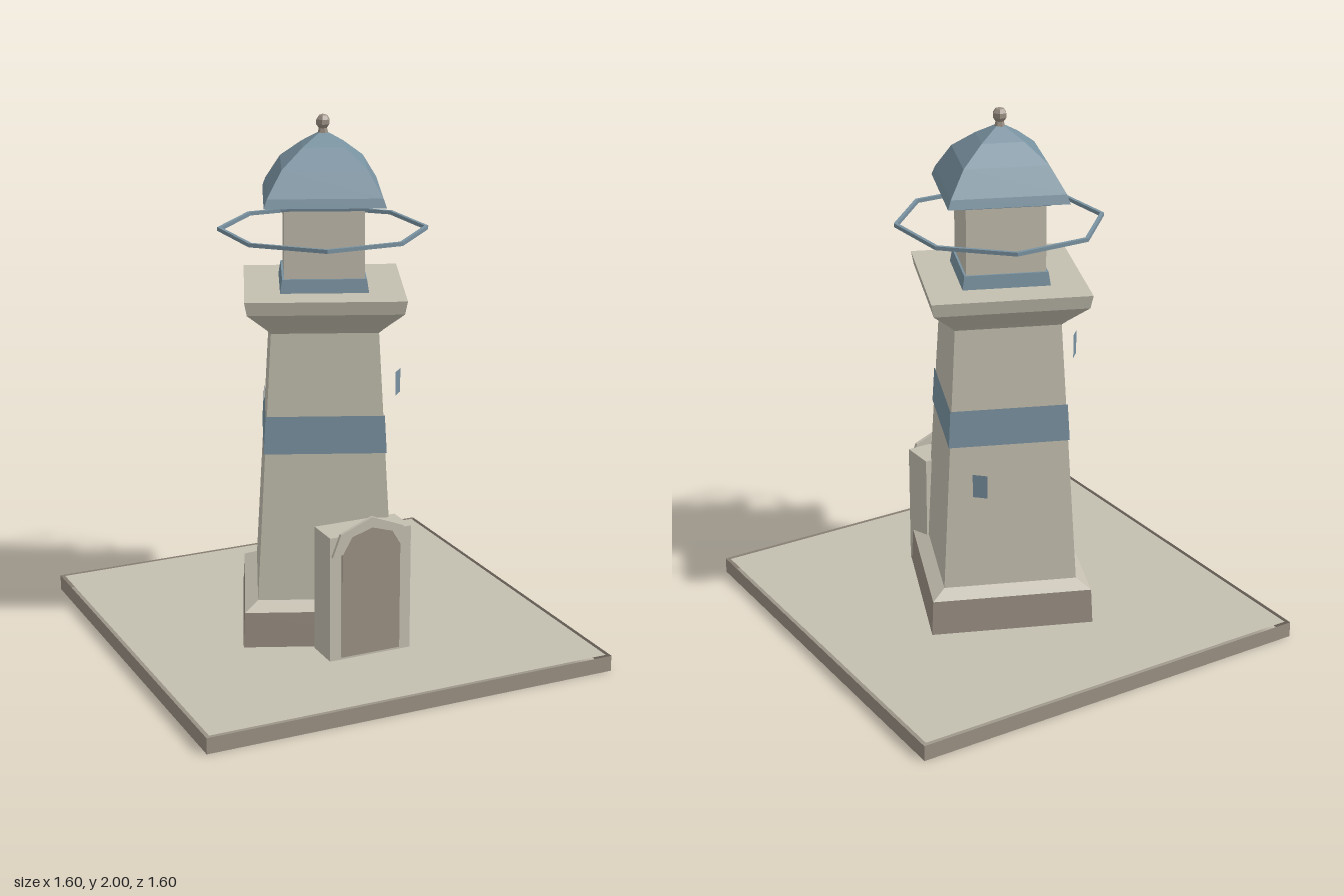
import * as THREE from 'three';

const stone = new THREE.MeshStandardMaterial({ color: 0xc3beaf });
stone.name = 'stone';
const slab = new THREE.MeshStandardMaterial({ color: 0xc3bfaf, side: THREE.DoubleSide });
slab.name = 'paving';
const blue = new THREE.MeshStandardMaterial({ color: 0x7992a0 });
blue.name = 'slate blue';
const brown = new THREE.MeshStandardMaterial({ color: 0x9a8f83, side: THREE.DoubleSide });
brown.name = 'brown';

const TURN = Math.PI / 8; // the tower stands turned on its plinth
const CORNER = 1 / Math.cos(TURN); // half width seen from the front -> corner radius

export function createModel() {
  const model = new THREE.Group();
  model.name = 'lighthouse';

  function add(name, geometry, material, x = 0, y = 0, z = 0) {
    const mesh = new THREE.Mesh(geometry, material);
    mesh.name = name;
    mesh.position.set(x, y, z);
    model.add(mesh);
    return mesh;
  }

  // Faceted solid from [half width, height] points, bottom to top
  function tier(name, profile, material, sides = 4) {
    const points = profile.map(([w, y]) => new THREE.Vector2(w * CORNER, y));
    const geometry = new THREE.LatheGeometry(points, sides, TURN).toNonIndexed();
    geometry.computeVertexNormals();
    return add(name, geometry, material);
  }

  // Ground slab: four rim walls around a slightly smaller top panel, open below
  for (let i = 0; i < 4; i++) {
    const a = (i * Math.PI) / 2;
    const wall = add('slabRim', new THREE.PlaneGeometry(1.6, 0.06), brown,
      0.8 * Math.sin(a), 0.03, 0.8 * Math.cos(a));
    wall.rotation.y = a;
  }
  add('slabTop', new THREE.PlaneGeometry(1.57, 1.57), slab, 0, 0.06).rotation.x = -Math.PI / 2;

  // Tower
  tier('plinth', [[0.4, 0.06], [0.392, 0.195]], brown);
  tier('plinthSlope', [[0.392, 0.195], [0.328, 0.225]], stone);
  tier('shaft', [[0.328, 0.22], [0.255, 1.24]], stone);
  tier('band', [[0.294, 0.787], [0.284, 0.928]], blue);
  tier('gallery', [[0.255, 1.235], [0.278, 1.255], [0.368, 1.325], [0.38, 1.375], [0, 1.375]], stone);

  // Lantern room and roof
  tier('lanternSill', [[0.21, 1.375], [0.2, 1.425], [0, 1.425]], blue);
  tier('lanternRoom', [[0.19, 1.425], [0.19, 1.69]], stone);
  tier('lanternCornice', [[0, 1.675], [0.205, 1.675], [0.21, 1.697]], blue);
  tier('roof', [[0, 1.697], [0.285, 1.697], [0.27, 1.73], [0.2, 1.823], [0.1, 1.89], [0.02, 1.933], [0, 1.935]], blue);

  // Finial
  const neck = new THREE.CylinderGeometry(0.012, 0.022, 0.04, 6).toNonIndexed();
  neck.computeVertexNormals();
  add('finialNeck', neck, brown, 0, 1.94);
  const ball = new THREE.SphereGeometry(0.028, 6, 5).toNonIndexed();
  ball.computeVertexNormals();
  add('finialBall', ball, brown, 0, 1.972);

  // Octagonal gallery rail with a square section
  tier('galleryRail',
    [[0.343, 1.573], [0.356, 1.573], [0.356, 1.587], [0.343, 1.587], [0.343, 1.573]], blue, 8);

  // Windows: [angle in degrees, distance from the axis, height]
  for (const [degrees, r, y] of [[45, 0.294, 1.025], [135, 0.315, 0.655], [225, 0.284, 1.12]]) {
    const a = THREE.MathUtils.degToRad(degrees);
    const pane = add('window', new THREE.PlaneGeometry(0.055, 0.09), blue,
      r * Math.sin(a), y, r * Math.cos(a));
    pane.rotation.y = a;
  }

  // Porch with arched doorway
  add('porch', new THREE.BoxGeometry(0.325, 0.48, 0.135), stone, 0, 0.3, 0.3475);
  const inner = [[0.117, 0.475], [0.08, 0.537], [0, 0.562], [-0.08, 0.537], [-0.117, 0.475]];
  const outer = [[0.158, 0.468], [0.125, 0.552], [0, 0.602], [-0.125, 0.552], [-0.158, 0.468]];
  const toShape = (points) => new THREE.Shape(points.map(([x, y]) => new THREE.Vector2(x, y)));
  const extrude = (points, depth) =>
    new THREE.ExtrudeGeometry(toShape(points), { depth, bevelEnabled: false });
  add('door', extrude([[-0.117, 0.07], [0.117, 0.07], ...inner], 0.006), brown, 0, 0, 0.415);
  add('doorArch', extrude([...outer, ...[...inner].reverse()], 0.013), stone, 0, 0, 0.415);

  return model;
}
